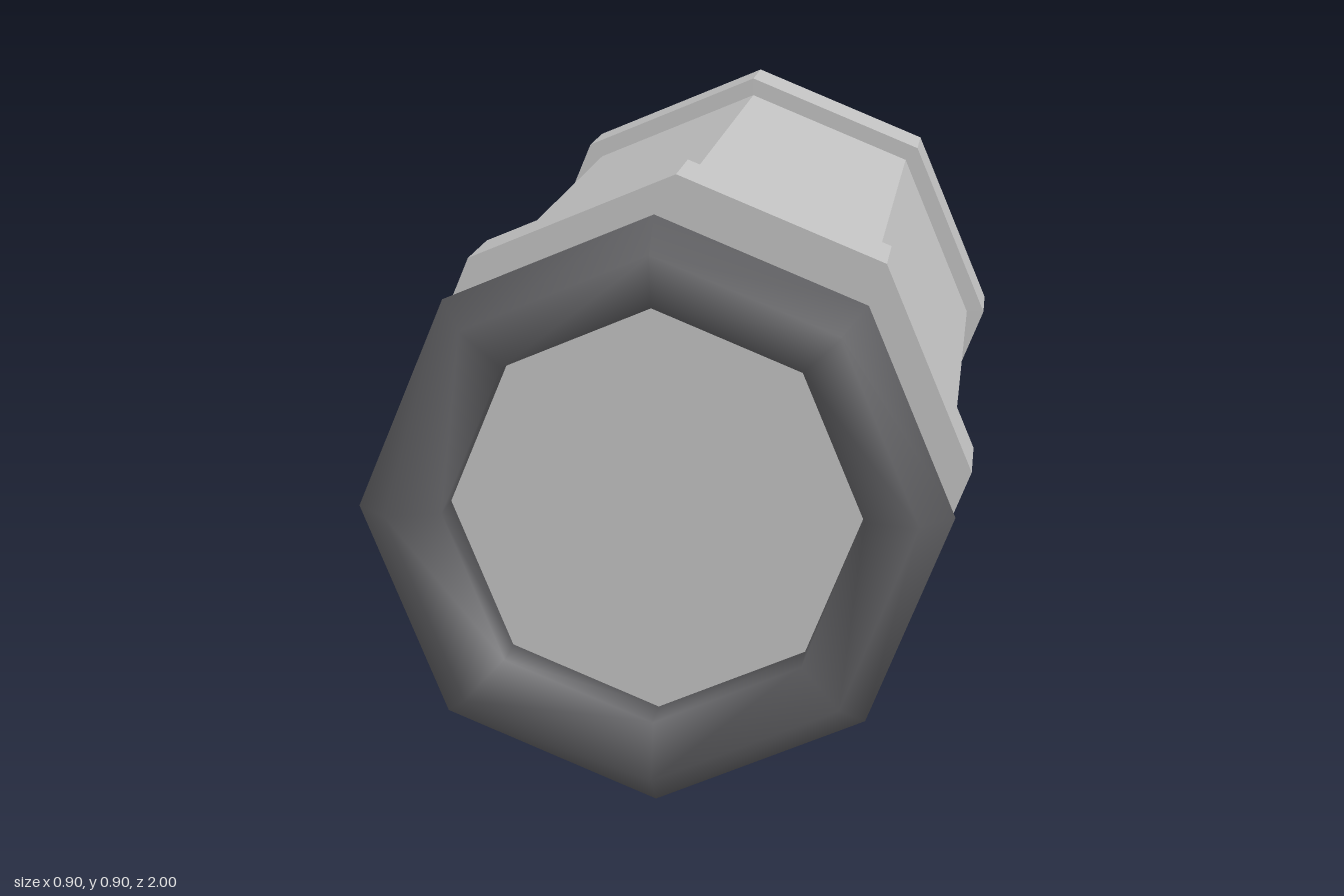
import * as THREE from 'three';

const SIDES = 8;
const AXIS_Y = 0.4525;

export function createModel() {
  const model = new THREE.Group();
  model.name = 'canister';

  const grey = new THREE.MeshStandardMaterial({ color: 0xc0c0c0 });
  grey.name = 'light grey';
  grey.flatShading = true;
  const dark = new THREE.MeshStandardMaterial({ color: 0x606063 });
  dark.name = 'dark grey';

  // Octagonal prism lying along z, with a corner pointing up
  function prism(name, radius, zBack, zFront) {
    const geometry = new THREE.CylinderGeometry(radius, radius, zFront - zBack, SIDES);
    geometry.rotateX(Math.PI / 2);
    const mesh = new THREE.Mesh(geometry, grey);
    mesh.name = name;
    mesh.position.set(0, AXIS_Y, (zBack + zFront) / 2);
    model.add(mesh);
  }

  prism('body', 0.42, -0.82, 0.45);
  prism('frontCollar', 0.4525, 0.45, 0.63);
  prism('backCollar', 0.4525, -1, -0.82);

  // Floating ring in front: five-sided tube, smooth shaded
  const ring = new THREE.Mesh(new THREE.TorusGeometry(0.363, 0.071, 5, SIDES), dark);
  ring.name = 'frontRing';
  ring.position.set(0, AXIS_Y, 0.9325);
  model.add(ring);

  return model;
}
